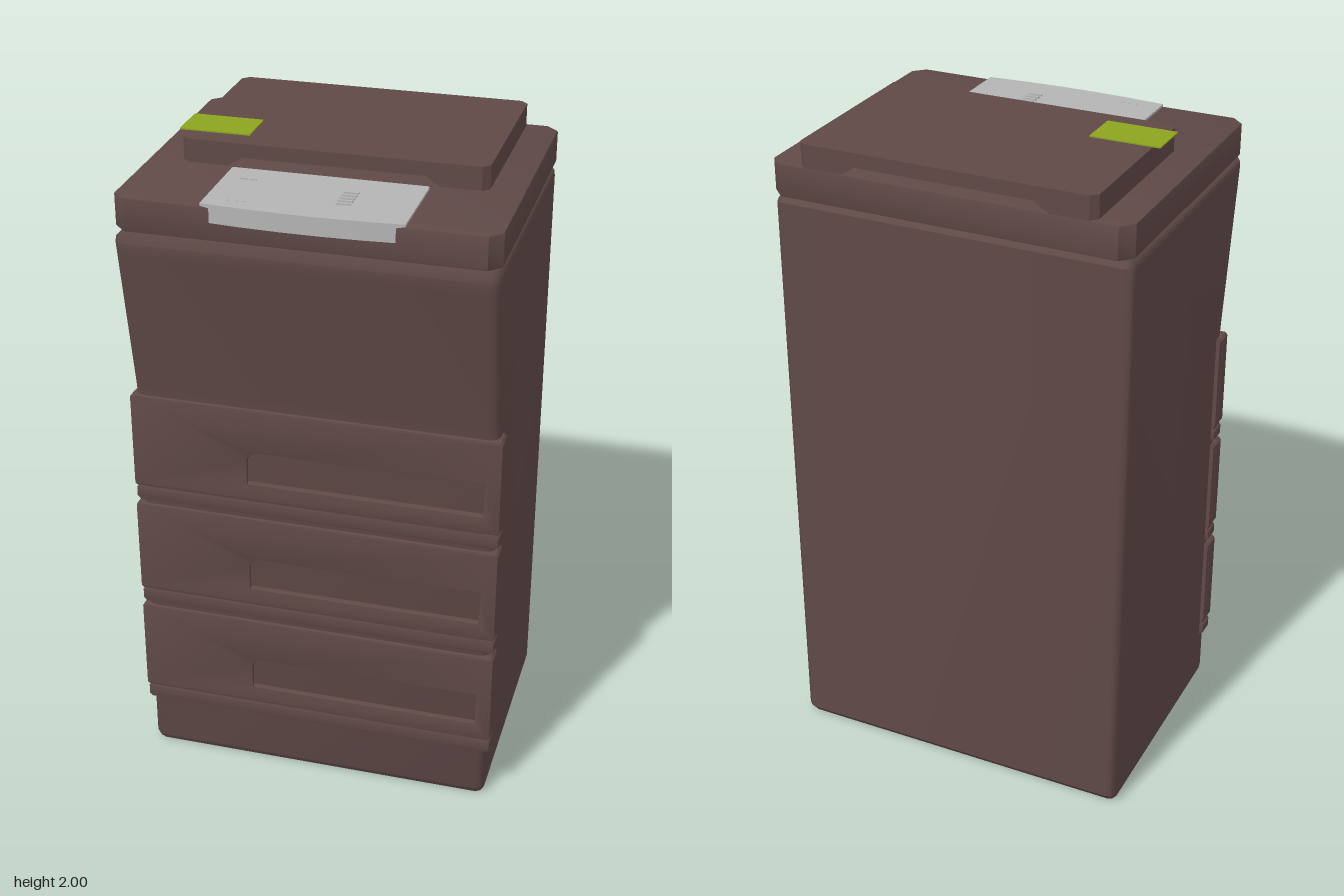
import * as THREE from 'three';
import { toCreasedNormals } from 'three/addons/utils/BufferGeometryUtils.js';

const material = (name, color) => {
  const m = new THREE.MeshStandardMaterial({ color });
  m.name = name;
  return m;
};

// Outline from a list of [x, y] points.
const outline = (pts) => new THREE.Shape(pts.map(([x, y]) => new THREE.Vector2(x, y)));

// Rectangle with cut corners of size c.
const cutRect = (x0, x1, y0, y1, c) => outline([
  [x0 + c, y0], [x1 - c, y0], [x1, y0 + c], [x1, y1 - c],
  [x1 - c, y1], [x0 + c, y1], [x0, y1 - c], [x0, y0 + c],
]);

// Extrusion spanning 0..depth whose bevel stays inside the outline.
function extrude(shape, depth, bevel = 0, segments = 2) {
  const g = new THREE.ExtrudeGeometry(shape, {
    depth: depth - 2 * bevel, bevelEnabled: bevel > 0, bevelSize: bevel,
    bevelThickness: bevel, bevelOffset: -bevel, bevelSegments: segments, curveSegments: 5,
  });
  return g.translate(0, 0, bevel);
}

// Plan outline (x, -z) raised from y0 to y1.
const slab = (shape, y0, y1, bevel = 0) =>
  extrude(shape, y1 - y0, bevel).rotateX(-Math.PI / 2).translate(0, y0, 0);

// Side outline (z, y) stretched from x0 to x1.
const sideways = (shape, x0, x1, bevel = 0, segments = 2) =>
  extrude(shape, x1 - x0, bevel, segments).rotateY(-Math.PI / 2).translate(x1, 0, 0);

export function createModel() {
  const brown = material('brown plastic', 0x5f4947);
  const grey = material('grey panel', 0xb4b4b4);
  const green = material('green label', 0x8ca41e);

  const model = new THREE.Group();
  model.name = 'cabinet';
  const add = (parent, name, geometry, mat) => {
    const mesh = new THREE.Mesh(toCreasedNormals(geometry, 0.6), mat);
    mesh.name = name;
    parent.add(mesh);
    return mesh;
  };
  const box = (x0, x1, y0, y1, z0, z1) => new THREE.BoxGeometry(x1 - x0, y1 - y0, z1 - z0)
    .translate((x0 + x1) / 2, (y0 + y1) / 2, (z0 + z1) / 2);

  // Cabinet body: the front leans out above the drawers
  const side = outline([
    [-0.41, 0.005], [0.325, 0.005], [0.342, 0.03], [0.342, 1.27], [0.348, 1.31],
    [0.43, 1.75], [0.437, 1.79], [0.425, 1.818], [-0.415, 1.818], [-0.43, 1.8], [-0.43, 0.03],
  ]);
  add(model, 'body', sideways(side, -0.543, 0.543, 0.03, 3), brown);

  // Top deck
  add(model, 'topDeck', slab(cutRect(-0.543, 0.543, -0.435, 0.445, 0.035), 1.825, 1.925, 0.005), brown);
  add(model, 'deckNeck', box(-0.51, 0.51, 1.81, 1.83, -0.41, 0.4), brown);

  // Lid: a plate on two side rails, open between them
  const lid = new THREE.Group();
  lid.name = 'lid';
  model.add(lid);
  add(lid, 'lidPlate', slab(cutRect(-0.445, 0.445, -0.127, 0.445, 0.02), 1.952, 1.994), brown);
  for (const s of [-1, 1]) {
    const rail = outline([
      [s * 0.31, -0.127], [s * 0.425, -0.127], [s * 0.445, -0.107],
      [s * 0.445, 0.425], [s * 0.425, 0.445], [s * 0.31, 0.445],
    ]);
    const g = slab(rail, 1.924, 1.952);
    const p = g.attributes.position;
    for (let i = 0; i < p.count; i++) {
      // Slope the inner wall
      if (Math.abs(p.getX(i)) < 0.32 && p.getY(i) > 1.94) p.setX(i, s * 0.265);
    }
    add(lid, s > 0 ? 'leftLidRail' : 'rightLidRail', g, brown);
  }

  // Label on the lid
  add(model, 'label', box(-0.47, -0.26, 1.996, 2, -0.065, 0.065), green);

  // Control panel with a bowed front edge
  const plan = new THREE.Shape();
  plan.moveTo(-0.285, -0.433);
  plan.quadraticCurveTo(0, -0.461, 0.285, -0.433);
  plan.lineTo(0.285, -0.155);
  plan.lineTo(0.28, -0.15);
  plan.lineTo(-0.28, -0.15);
  plan.lineTo(-0.285, -0.155);
  const panel = new THREE.Group();
  panel.name = 'controlPanel';
  model.add(panel);
  add(panel, 'panelPlate', slab(plan, 1.878, 1.932), grey);
  for (let i = 0; i < 5; i++) {
    const z = 0.258 + i * 0.021;
    add(panel, 'button', box(0.07, 0.112, 1.93, 1.937, z - 0.004, z + 0.004), grey);
  }
  for (const x of [-0.225, -0.198]) {
    add(panel, 'indicator', box(x - 0.01, x + 0.01, 1.93, 1.935, 0.23, 0.234), grey);
  }
  for (const x of [-0.217, -0.193, -0.172]) {
    add(panel, 'lamp', box(x - 0.002, x + 0.002, 1.93, 1.934, 0.391, 0.395), grey);
  }

  // Three drawers, each with a sunken grip and a set-back lower lip
  for (let i = 0; i < 3; i++) {
    const drawer = new THREE.Group();
    drawer.name = 'drawer';
    drawer.position.y = 0.178 + i * 0.3685;
    model.add(drawer);

    const face = cutRect(-0.557, 0.557, 0.052, 0.358, 0.008);
    const grip = new THREE.Path();
    grip.moveTo(-0.2, 0.11);
    grip.lineTo(0.507, 0.11);
    grip.lineTo(0.507, 0.216);
    grip.lineTo(-0.16, 0.216);
    grip.quadraticCurveTo(-0.2, 0.216, -0.2, 0.18);
    grip.closePath();
    face.holes.push(grip);
    add(drawer, 'drawerFront', extrude(face, 0.05, 0.006).translate(0, 0, 0.302), brown);
    add(drawer, 'drawerBack', extrude(cutRect(-0.555, 0.555, 0.054, 0.356, 0.008), 0.03).translate(0, 0, 0.286), brown);
    add(drawer, 'lowerLip', extrude(cutRect(-0.555, 0.555, 0, 0.048, 0.01), 0.058, 0.005).translate(0, 0, 0.286), brown);
    add(drawer, 'lipSeam', box(-0.55, 0.55, 0.04, 0.06, 0.29, 0.338), brown);

    // Sloping floor of the grip
    const wedge = outline([[0.31, 0.108], [0.347, 0.108], [0.312, 0.165]]);
    add(drawer, 'gripSlope', sideways(wedge, -0.203, 0.51), brown);
  }

  return model;
}
